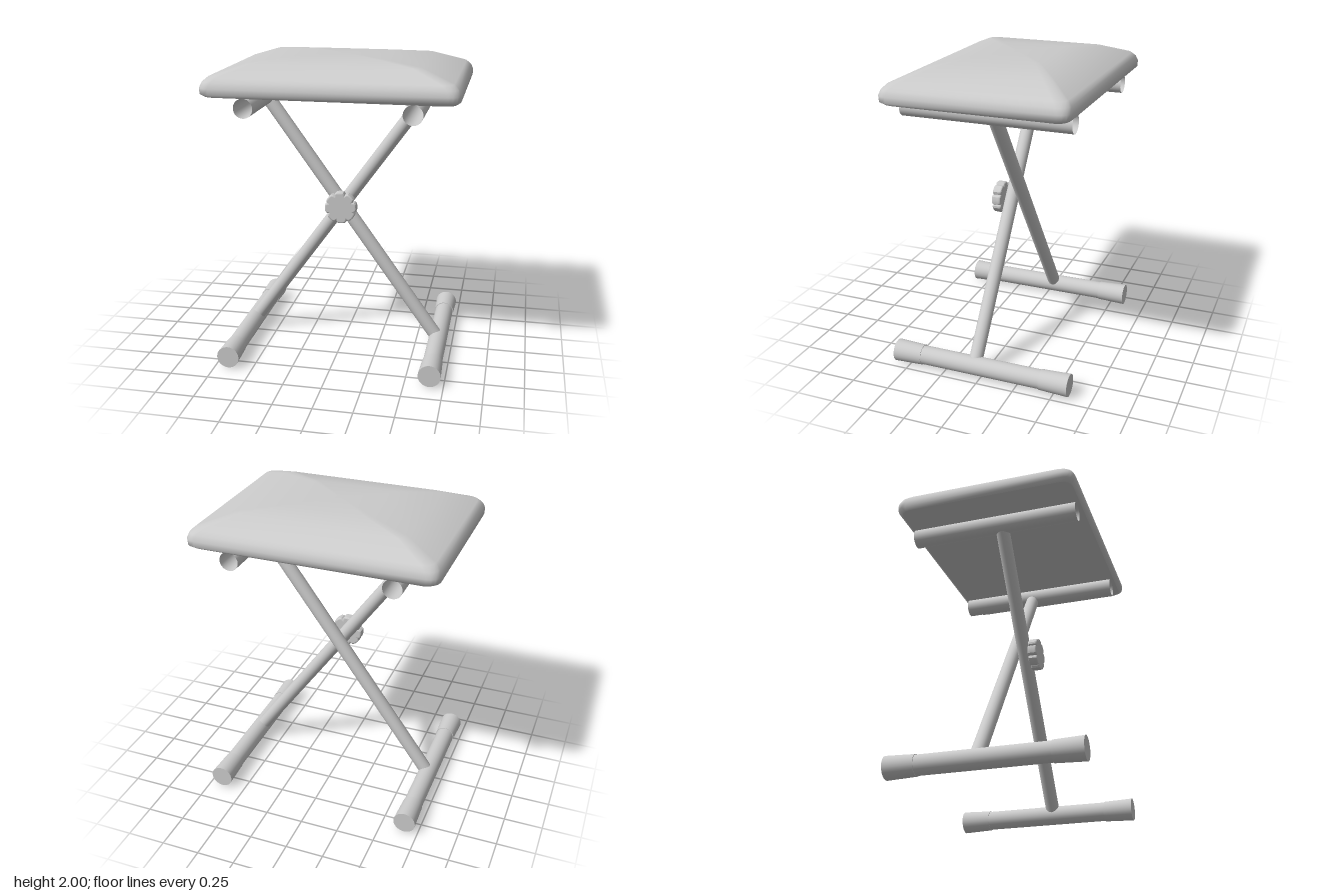
import * as THREE from 'three';
import { mergeVertices } from 'three/addons/utils/BufferGeometryUtils.js';

const material = new THREE.MeshStandardMaterial({ color: 0xcccccc });
const openMaterial = new THREE.MeshStandardMaterial({ color: 0xcccccc, side: THREE.DoubleSide });

function add(parent, name, geometry, mat = material) {
  const mesh = new THREE.Mesh(geometry, mat);
  mesh.name = name;
  parent.add(mesh);
  return mesh;
}

// Rounded rectangle outline (half sizes hx, hz), from +x round to +z
function ring(hx, hz, y) {
  const points = [];
  const r = 0.09 * hx, steps = 4;
  for (let q = 0; q < 4; q++) {
    const sx = q === 0 || q === 3 ? 1 : -1;
    const sz = q < 2 ? 1 : -1;
    for (let i = 0; i <= steps; i++) {
      const a = (q + i / steps) * Math.PI / 2;
      points.push([sx * (hx - r) + r * Math.cos(a), y, sz * (hz - Math.min(r, hz)) + r * Math.sin(a)]);
    }
  }
  return points;
}

// Skin a list of [halfX, halfZ, y] rings
function loft(sections) {
  const rings = sections.map((s) => ring(...s));
  const n = rings[0].length;
  const index = [];
  for (let i = 0; i < rings.length - 1; i++) {
    for (let j = 0; j < n; j++) {
      const a = i * n + j, b = i * n + (j + 1) % n;
      index.push(a, a + n, b, b, a + n, b + n);
    }
  }
  let geometry = new THREE.BufferGeometry();
  geometry.setAttribute('position', new THREE.Float32BufferAttribute(rings.flat(2), 3));
  geometry.setIndex(index);
  geometry = mergeVertices(geometry, 1e-5);
  geometry.computeVertexNormals();
  return geometry;
}

// Cylinder lying along z
function barAlongZ(rFront, rBack, length, open = false) {
  return new THREE.CylinderGeometry(rFront, rBack, length, 28, 1, open).rotateX(Math.PI / 2);
}

// Straight tube between two points
function tubeBetween(from, to, radius) {
  const dir = to.clone().sub(from);
  const geometry = new THREE.CylinderGeometry(radius, radius, dir.length(), 24);
  geometry.applyQuaternion(new THREE.Quaternion().setFromUnitVectors(
    new THREE.Vector3(0, 1, 0), dir.clone().normalize()));
  const mid = from.clone().add(to).multiplyScalar(0.5);
  return geometry.translate(mid.x, mid.y, mid.z);
}

export function createModel() {
  const model = new THREE.Group();
  model.name = 'foldingStool';

  // Padded seat with domed top and flat underside
  const seat = new THREE.Group();
  seat.name = 'seat';
  model.add(seat);
  add(seat, 'cushion', loft([
    [0.765, 0.575, 1.785], [0.788, 0.598, 1.803], [0.79, 0.6, 1.84], [0.775, 0.586, 1.875],
    [0.745, 0.56, 1.902], [0.54, 0.405, 1.97], [0.27, 0.235, 1.995], [0, 0, 2],
  ]));
  add(seat, 'seatBase', loft([[0, 0, 1.785], [0.765, 0.575, 1.785]]));

  for (const side of [-1, 1]) {
    const label = side > 0 ? 'left' : 'right';

    // Open tube under the seat
    add(model, label + 'SeatRail', barAlongZ(0.061, 0.061, 1.108, true), openMaterial)
      .position.set(side * 0.515, 1.721, 0.001);

    // Floor bar with a flared rubber cap on each end
    const foot = new THREE.Group();
    foot.name = label + 'Foot';
    foot.position.set(side * 0.66, 0.075, 0);
    model.add(foot);
    add(foot, 'floorBar', barAlongZ(0.062, 0.062, 1.1));
    for (const end of [-1, 1]) {
      const cap = add(foot, end > 0 ? 'frontCap' : 'backCap', barAlongZ(0.073, 0.066, 0.19));
      cap.position.z = end * 0.505;
      if (end < 0) cap.rotation.y = Math.PI;
    }

    // Crossing legs: the one reaching the left foot passes in front
    const z = side * 0.046;
    add(model, side > 0 ? 'frontLeg' : 'backLeg', tubeBetween(
      new THREE.Vector3(-side * 0.495, 1.69, z), new THREE.Vector3(side * 0.65, 0.09, z), 0.045));
  }

  // Lobed clamping knob at the crossing
  const outline = [];
  const lobes = 8, samples = 96;
  for (let i = 0; i < samples; i++) {
    const a = (i / samples) * Math.PI * 2;
    const notch = Math.max(0, Math.cos(lobes * a + Math.PI * 0.8)) ** 2;
    const r = 0.096 - 0.02 * notch;
    outline.push(new THREE.Vector2(r * Math.cos(a), r * Math.sin(a)));
  }
  const knob = new THREE.ExtrudeGeometry(new THREE.Shape(outline), {
    depth: 0.04, bevelEnabled: true, bevelThickness: 0.011, bevelSize: 0.01, bevelSegments: 3,
  });
  add(model, 'knob', knob).position.set(0, 1, 0.101);

  return model;
}
